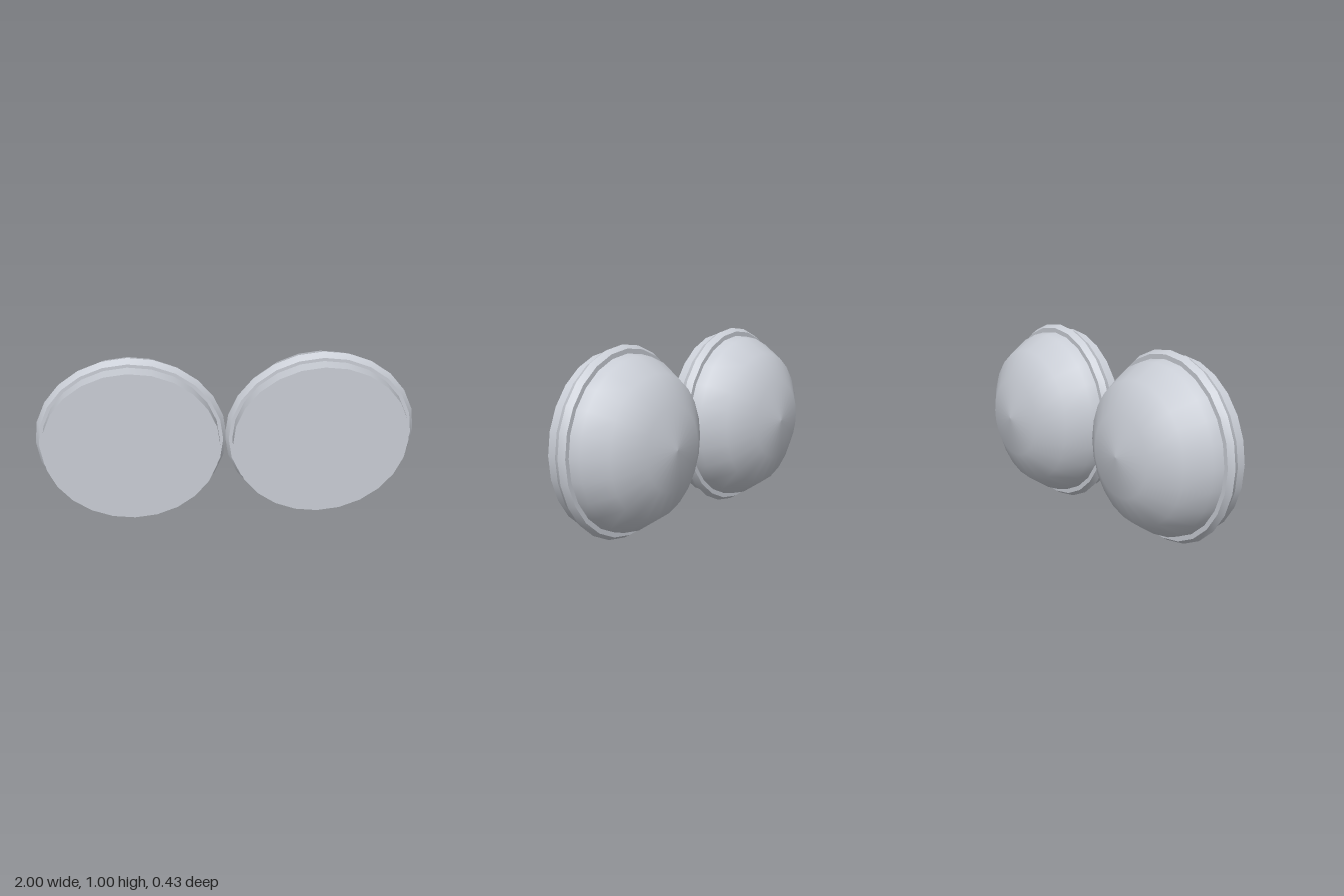
import * as THREE from 'three';
import { toCreasedNormals } from 'three/addons/utils/BufferGeometryUtils.js';

const SIDES = 24;

export function createModel() {
  const model = new THREE.Group();
  model.name = 'roundLamps';
  const metal = new THREE.MeshStandardMaterial({ color: 0xc8ccd4 });
  metal.name = 'paleMetal';

  // Flat front lens
  const lens = new THREE.CylinderGeometry(0.465, 0.465, 0.093, SIDES);
  lens.rotateX(Math.PI / 2).translate(0, 0, 0.1715);

  // Six-sided retaining ring with crisp bands
  const ring = toCreasedNormals(new THREE.TorusGeometry(0.465, 0.037, 6, SIDES), Math.PI / 6);
  ring.translate(0, 0, 0.125);

  // Rounded rear bowl, from the pole to the ring
  const profile = [[0, -0.216], [0.215, -0.186], [0.372, -0.091], [0.45, 0.033], [0.463, 0.125]];
  const bowl = new THREE.LatheGeometry(profile.map(([r, z]) => new THREE.Vector2(r, z)), SIDES);
  bowl.rotateX(Math.PI / 2);

  for (const side of [-1, 1]) {
    const lamp = new THREE.Group();
    lamp.name = side > 0 ? 'leftLamp' : 'rightLamp';
    for (const [name, geometry] of Object.entries({ lens, ring, bowl })) {
      const mesh = new THREE.Mesh(geometry, metal);
      mesh.name = name;
      lamp.add(mesh);
    }
    lamp.position.set(side * 0.498, 0.504, 0);
    model.add(lamp);
  }
  return model;
}
